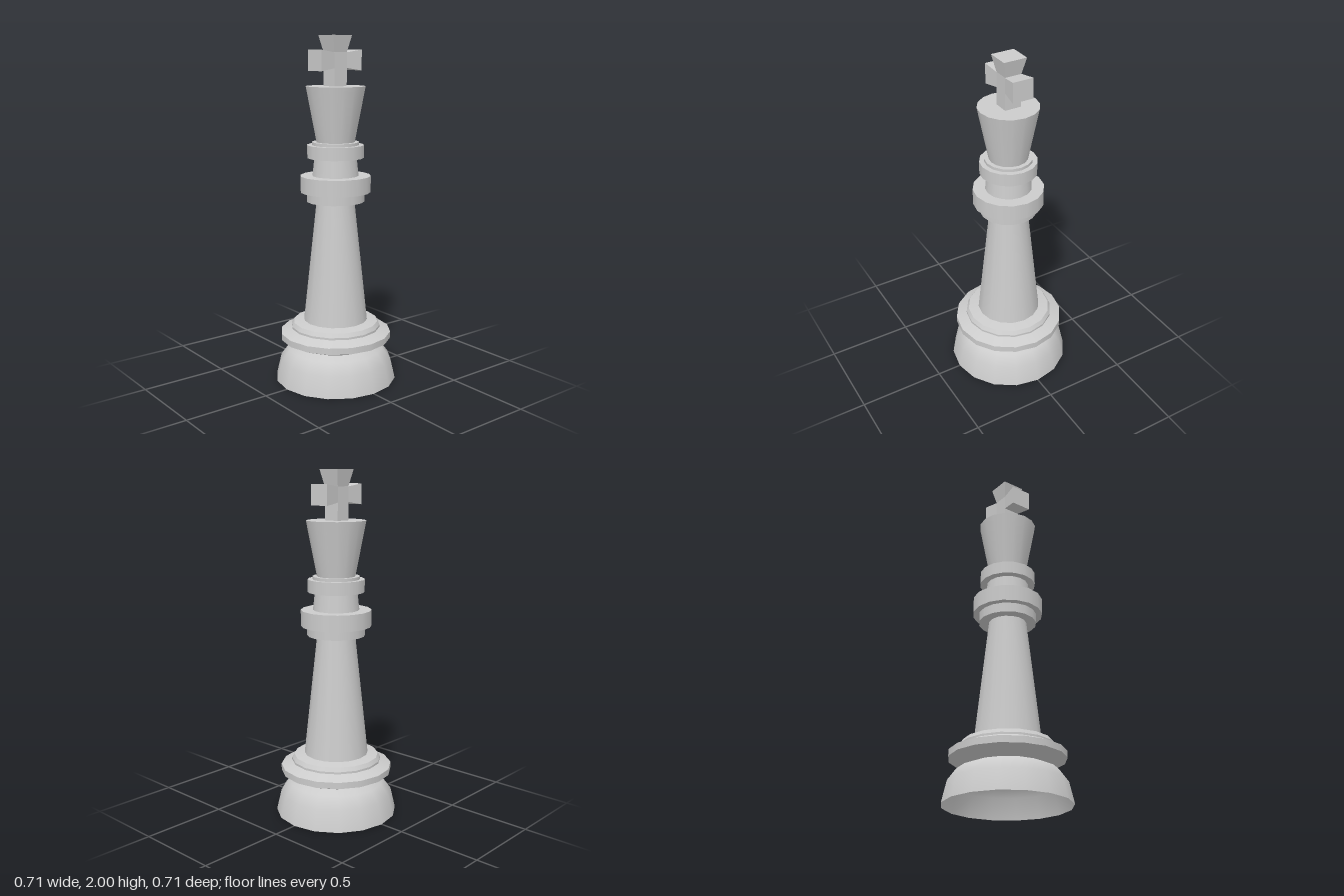
import * as THREE from 'three';

const SIDES = 16;
const material = new THREE.MeshStandardMaterial({ color: 0xcccccc, side: THREE.DoubleSide });

// Turned section: each run of [radius, height] points is smooth, with hard edges between runs.
function turned(name, runs) {
  const group = new THREE.Group();
  group.name = name;
  runs.forEach((run, i) => {
    const points = run.map(([r, y]) => new THREE.Vector2(r, y));
    const mesh = new THREE.Mesh(new THREE.LatheGeometry(points, SIDES), material);
    mesh.name = `${name}Surface${i + 1}`;
    group.add(mesh);
  });
  return group;
}

// Splits a profile into one hard-edged run per segment.
const hardRuns = (profile) => profile.slice(1).map((p, i) => [profile[i], p]);

// Square block growing along +y from half sizes (x0, z0) to (x1, z1).
function taperedBlock(name, x0, z0, x1, z1, height) {
  const geometry = new THREE.BoxGeometry(2, height, 2).translate(0, height / 2, 0);
  const pos = geometry.attributes.position;
  for (let i = 0; i < pos.count; i++) {
    const top = pos.getY(i) > height / 2;
    pos.setX(i, pos.getX(i) * (top ? x1 : x0));
    pos.setZ(i, pos.getZ(i) * (top ? z1 : z0));
  }
  const flat = geometry.toNonIndexed();
  flat.computeVertexNormals();
  const mesh = new THREE.Mesh(flat, material);
  mesh.name = name;
  return mesh;
}

export function createModel() {
  const model = new THREE.Group();
  model.name = 'chessKing';

  // Hollow bowl-shaped foot, open below
  model.add(turned('foot', [[[0.356, 0], [0.328, 0.12], [0.28, 0.185], [0.225, 0.208]]]));

  // Flared disc with a stepped shoulder
  model.add(turned('baseDisc', hardRuns([
    [0.225, 0.208], [0.325, 0.25], [0.325, 0.287], [0.262, 0.313],
    [0.262, 0.325], [0.248, 0.348], [0.187, 0.358],
  ])));

  // Tapering stem
  model.add(turned('stem', [[[0.187, 0.358], [0.11, 1.065]]]));

  // Collar rings and neck
  model.add(turned('collar', hardRuns([
    [0.11, 1.065], [0.167, 1.065], [0.167, 1.12], [0.203, 1.12],
    [0.203, 1.214], [0.133, 1.214], [0.122, 1.317], [0.163, 1.317],
    [0.163, 1.39], [0.135, 1.39], [0.135, 1.407], [0.11, 1.407],
  ])));

  // Flared crown with a flat top
  model.add(turned('crown', hardRuns([[0.11, 1.407], [0.17, 1.72], [0, 1.72]])));

  // Cross: post, flared top and two flared arms
  const cross = new THREE.Group();
  cross.name = 'cross';
  cross.position.set(0, 1.72, -0.003);
  cross.add(taperedBlock('crossPost', 0.044, 0.049, 0.044, 0.049, 0.187));
  const top = taperedBlock('crossTop', 0.044, 0.049, 0.066, 0.068, 0.093);
  top.position.y = 0.187;
  cross.add(top);
  for (const side of [-1, 1]) {
    const arm = taperedBlock(side > 0 ? 'leftArm' : 'rightArm', 0.043, 0.05, 0.058, 0.061, 0.098);
    arm.rotation.z = -side * Math.PI / 2;
    arm.position.set(side * 0.044, 0.143, 0);
    cross.add(arm);
  }
  model.add(cross);

  return model;
}
